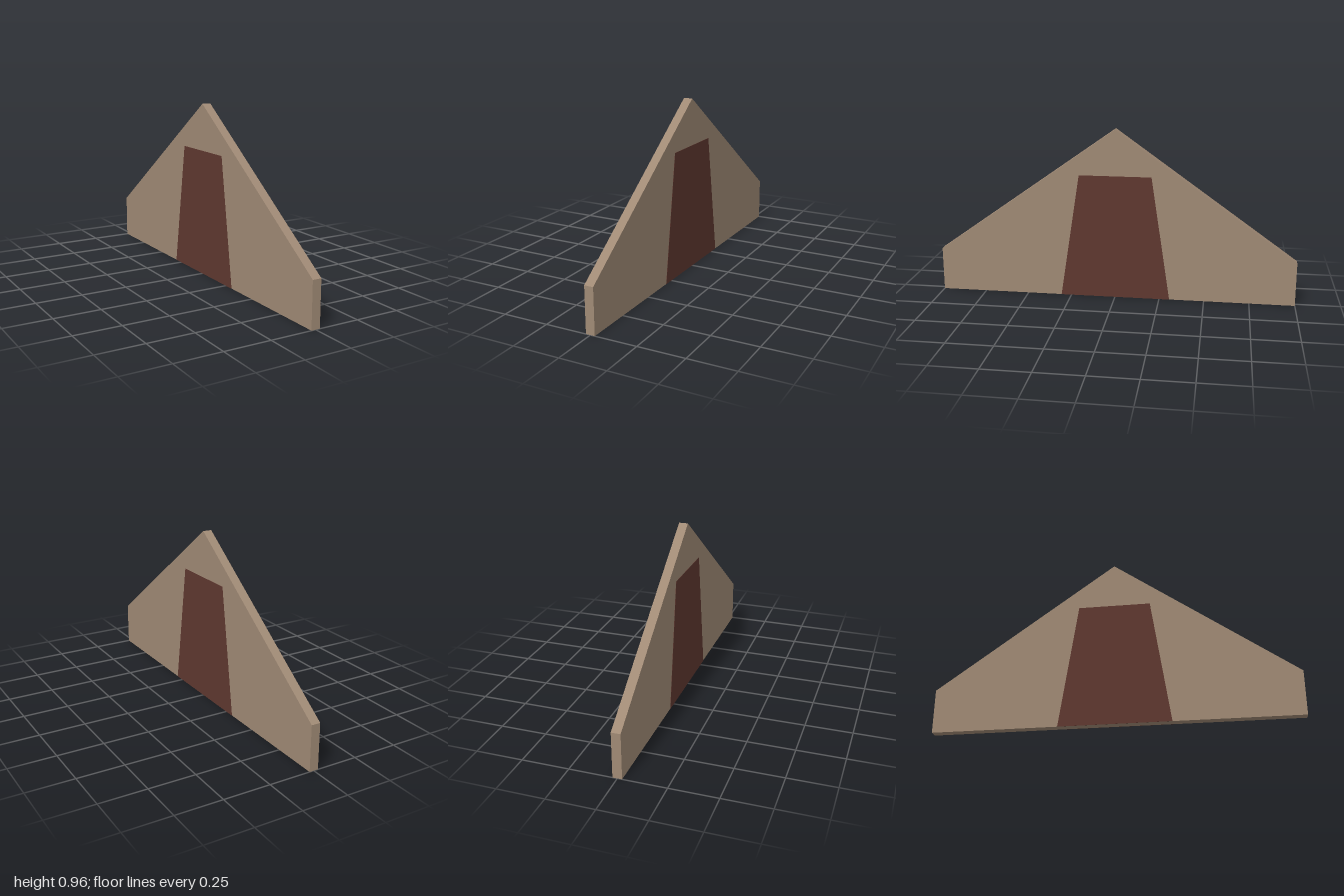
import * as THREE from 'three';

// Slab outlined in the side plane (z, y), symmetric in z, with its thickness centred on x = 0
function slab(name, halfOutline, thickness, material) {
  const mirrored = halfOutline.filter(([z]) => z > 0).map(([z, y]) => [-z, y]).reverse();
  const points = [...halfOutline, ...mirrored].map(([z, y]) => new THREE.Vector2(z, y));
  const geometry = new THREE.ExtrudeGeometry(new THREE.Shape(points), {
    depth: thickness,
    bevelEnabled: false,
  });
  geometry.translate(0, 0, -thickness / 2);
  geometry.rotateY(Math.PI / 2);
  const mesh = new THREE.Mesh(geometry, material);
  mesh.name = name;
  return mesh;
}

export function createModel() {
  const tan = new THREE.MeshStandardMaterial({ color: 0xa08a75 });
  tan.name = 'tan wall';
  const darkBrown = new THREE.MeshStandardMaterial({ color: 0x5f3830 });
  darkBrown.name = 'dark brown door';

  const model = new THREE.Group();
  model.name = 'gableWall';

  // Gabled wall
  model.add(slab('wall', [[1, 0], [1, 0.245], [0, 0.957]], 0.049, tan));

  // Tapered door panels, a thin plate on each face of the wall
  for (const side of [1, -1]) {
    const panel = slab(side > 0 ? 'leftDoorPanel' : 'rightDoorPanel',
      [[0.307, 0], [0.2, 0.7]], 0.002, darkBrown);
    panel.position.x = side * 0.025;
    model.add(panel);
  }
  return model;
}
